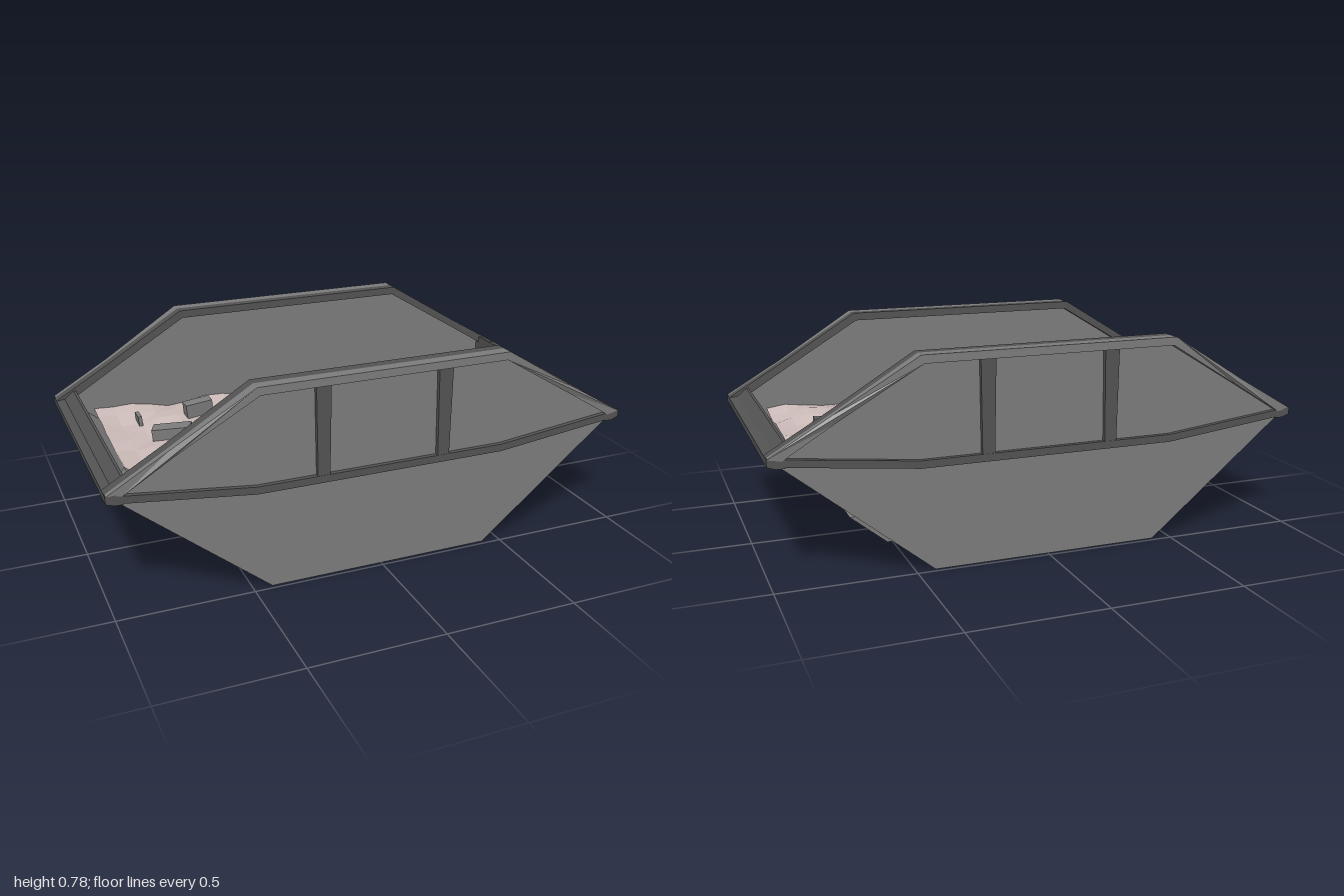
import * as THREE from 'three';

const steel = new THREE.MeshStandardMaterial({ color: 0x7c7c7c, flatShading: true });
const darkSteel = new THREE.MeshStandardMaterial({ color: 0x535353, flatShading: true });
const rubble = new THREE.MeshStandardMaterial({ color: 0xcbbab8, flatShading: true, side: THREE.DoubleSide });

// Prism with an xy outline, running from z0 to z1
function prism(name, points, z0, z1, material = steel) {
  const shape = new THREE.Shape(points.map(([x, y]) => new THREE.Vector2(x, y)));
  const geometry = new THREE.ExtrudeGeometry(shape, { depth: z1 - z0, bevelEnabled: false });
  geometry.translate(0, 0, z0);
  const mesh = new THREE.Mesh(geometry, material);
  mesh.name = name;
  return mesh;
}

// Prism placed on the front (side = 1) or back (side = -1)
function sidePrism(name, points, side, inner, outer, material) {
  return side > 0 ? prism(name, points, inner, outer, material) : prism(name, points, -outer, -inner, material);
}

// Right half of an outline, completed by its mirror image
const mirrored = (half) => [...half, ...half.map(([x, y]) => [-x, y]).reverse()];

// Closed band between an upper and a lower right-half line
const band = (upper, lower) => [...mirrored(upper), ...mirrored(lower).reverse()];

function dirtHeight(x, z) {
  const lumps = 0.01 * Math.sin(9 * x + 5 * z) + 0.008 * Math.sin(17 * x - 13 * z + 1) + 0.005 * Math.sin(31 * z + 23 * x);
  const h = 0.358 + 0.12 * x * z + lumps;
  return Math.max(h, (Math.abs(x) - 0.43) * 0.81 + 0.03);
}

function createSide(side) {
  const group = new THREE.Group();
  group.name = side > 0 ? 'frontSide' : 'backSide';

  group.add(sidePrism('sideWall', mirrored([[0.43, 0], [0.98, 0.45], [0.48, 0.765]]), side, 0.464, 0.484));

  // Top rail: dark inner half, and an outer half that narrows towards the ends
  const railOutline = band(
    [[1, 0.465], [0.78, 0.594], [0.48, 0.778]],
    [[0.95, 0.455], [0.77, 0.566], [0.47, 0.748]],
  );
  group.add(sidePrism('topRailInner', railOutline, side, 0.44, 0.48, darkSteel));
  const rail = sidePrism('topRailOuter', railOutline, side, 0.48, 0.525);
  const p = rail.geometry.attributes.position;
  for (let i = 0; i < p.count; i++) {
    if (Math.abs(p.getZ(i)) < 0.5) continue;
    const t = THREE.MathUtils.clamp((Math.abs(p.getX(i)) - 0.48) / 0.3, 0, 1);
    p.setZ(i, side * (0.525 - 0.023 * t));
  }
  rail.geometry.computeVertexNormals();
  group.add(rail);

  group.add(sidePrism('lowerRail', band(
    [[1, 0.467], [0.48, 0.408]],
    [[1, 0.44], [0.48, 0.38]],
  ), side, 0.475, 0.502, darkSteel));

  // Upright stiffeners
  for (const x of [-0.235, 0.235]) {
    group.add(sidePrism('rib', [[x - 0.023, 0.4], [x + 0.023, 0.4], [x + 0.028, 0.755], [x - 0.028, 0.755]], side, 0.475, 0.501, darkSteel));
  }
  return group;
}

function createEnd(side) {
  const group = new THREE.Group();
  group.name = side > 0 ? 'leftEnd' : 'rightEnd';
  const flip = (points) => points.map(([x, y]) => [x * side, y]);

  group.add(prism('endWall', flip([[0.43, 0], [0.98, 0.45], [0.95, 0.45], [0.42, 0.015]]), -0.48, 0.48));
  group.add(prism('endRail', flip([[1, 0.44], [1, 0.465], [0.965, 0.468], [0.94, 0.43], [0.97, 0.43]]), -0.502, 0.502, darkSteel));
  group.add(prism('endRailLip', flip([[0.97, 0.465], [0.93, 0.498], [0.92, 0.498], [0.92, 0.435], [0.96, 0.435]]), -0.482, 0.482, darkSteel));

  // Lifting pocket: cheeks and bars around a shallow recess
  const top = side > 0 ? 0.115 : 0.1;
  const slice = (y0, y1, depth) => flip([
    [0.42 + y0 * 1.22, y0], [0.52 - depth + y0 * 1.22, y0],
    [0.52 - depth + y1 * 1.22, y1], [0.42 + y1 * 1.22, y1],
  ]);
  for (const s of [-1, 1]) group.add(sidePrism('pocketCheek', slice(0, top, 0), s, 0.125, 0.165));
  group.add(prism('pocketLowerBar', slice(0, 0.03, 0), -0.125, 0.125));
  group.add(prism('pocketUpperBar', slice(top - 0.025, top, 0), -0.125, 0.125));
  group.add(prism('pocketBack', slice(0.03, top - 0.025, 0.02), -0.125, 0.125));
  return group;
}

function createLoad() {
  const group = new THREE.Group();
  group.name = 'load';

  // Uneven dirt surface
  const geometry = new THREE.PlaneGeometry(1.7, 0.94, 22, 12).rotateX(-Math.PI / 2);
  const p = geometry.attributes.position;
  for (let i = 0; i < p.count; i++) p.setY(i, dirtHeight(p.getX(i), p.getZ(i)));
  geometry.computeVertexNormals();
  const dirt = new THREE.Mesh(geometry, rubble);
  dirt.name = 'dirt';
  group.add(dirt);

  // Broken blocks: x, z, length, height, depth, turn, then roll and lift where needed
  const blocks = [
    [-0.70, -0.32, 0.015, 0.05, 0.06, 0],
    [-0.46, -0.30, 0.11, 0.08, 0.05, 0.05],
    [-0.02, -0.36, 0.14, 0.07, 0.08, 0],
    [-0.61, -0.14, 0.15, 0.06, 0.06, -0.4],
    [-0.21, -0.16, 0.1, 0.1, 0.14, -0.35, 0.5, 0.05],
    [0.25, -0.21, 0.27, 0.06, 0.04, -0.22, -0.4, 0.04],
    [0.74, -0.23, 0.09, 0.08, 0.13, 0.1, 0.2, 0.08],
    [0.52, -0.12, 0.06, 0.04, 0.03, 0],
    [-0.62, 0.03, 0.14, 0.05, 0.05, 0.2],
    [0.10, -0.02, 0.09, 0.05, 0.06, -0.1],
    [-0.10, 0.00, 0.08, 0.04, 0.02, 0],
    [-0.69, 0.17, 0.11, 0.06, 0.07, -0.15],
    [-0.32, 0.16, 0.1, 0.1, 0.19, 0.2, 0.75, 0.1],
    [0.06, 0.14, 0.16, 0.06, 0.06, 0.45],
    [0.24, 0.14, 0.05, 0.05, 0.06, 0],
    [0.53, 0.13, 0.06, 0.1, 0.19, -0.2, 0.3, 0.03],
    [0.67, 0.20, 0.08, 0.04, 0.03, 0],
    [-0.86, 0.31, 0.1, 0.04, 0.05, 0, -0.6, 0.04],
    [-0.47, 0.34, 0.06, 0.05, 0.07, 0],
    [-0.41, 0.28, 0.03, 0.06, 0.1, -0.5],
    [0.33, 0.28, 0.04, 0.03, 0.02, 0],
    [-0.02, 0.22, 0.11, 0.03, 0.012, 0],
  ];
  blocks.forEach(([x, z, w, h, d, turn, roll = 0.1, lift = h * 0.3], i) => {
    const block = new THREE.Mesh(new THREE.BoxGeometry(w, h, d), steel);
    block.name = 'block';
    block.position.set(x, dirtHeight(x, z) + lift, z);
    block.rotation.set(0.06 * Math.sin(i * 2.3), turn, roll, 'YXZ');
    group.add(block);
  });
  return group;
}

export function createModel() {
  const model = new THREE.Group();
  model.name = 'wasteSkip';
  const floor = new THREE.Mesh(new THREE.BoxGeometry(0.86, 0.015, 0.94), steel);
  floor.name = 'floor';
  floor.position.y = 0.0075;
  model.add(floor);
  for (const side of [-1, 1]) model.add(createSide(side), createEnd(side));
  model.add(createLoad());
  return model;
}
